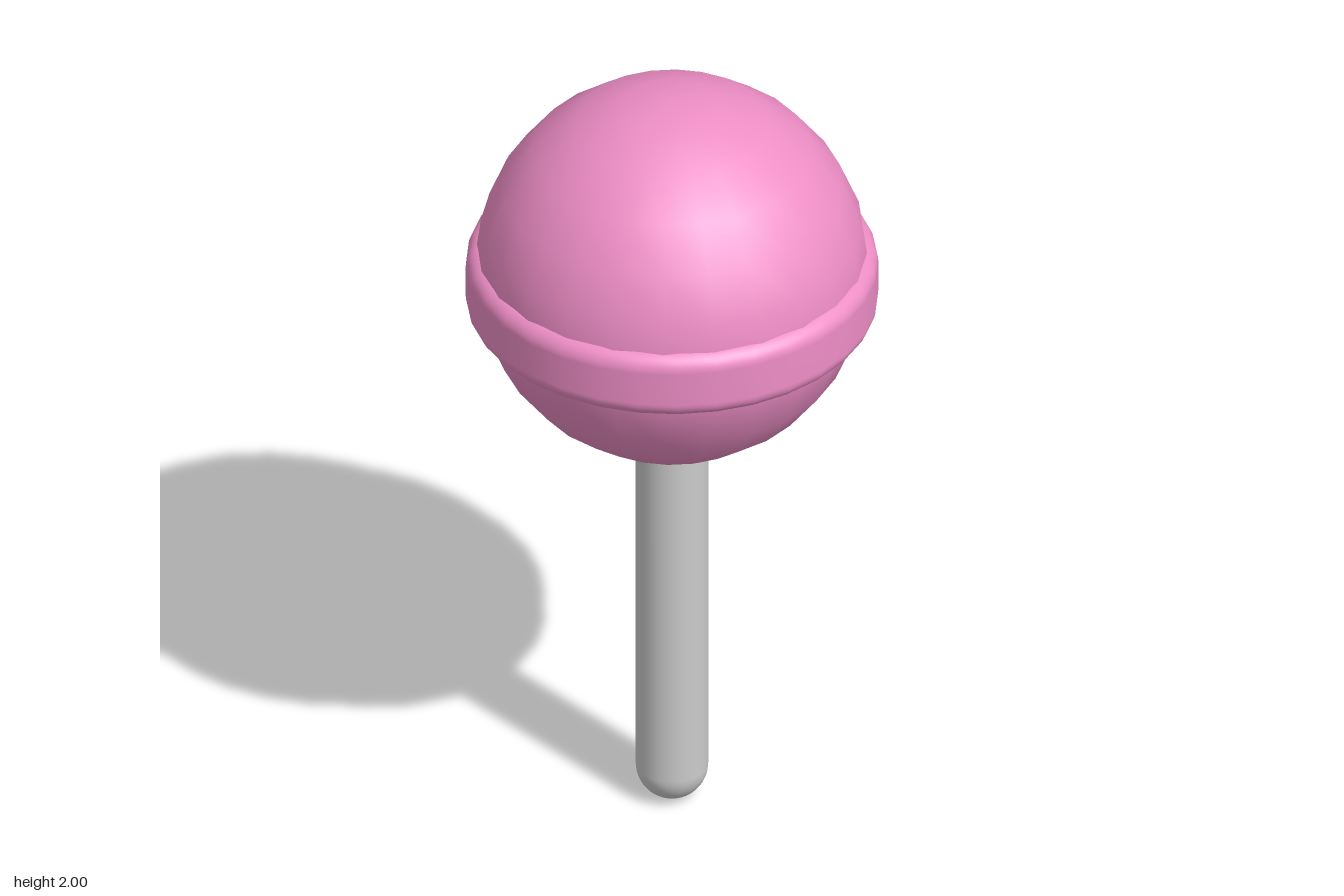
import * as THREE from 'three';

export function createModel() {
  const group = new THREE.Group();
  const pink = new THREE.MeshStandardMaterial({ color: 0xee8ec6 });
  const grey = new THREE.MeshStandardMaterial({ color: 0xcccccc });

  const add = (name, geometry, material) => {
    const mesh = new THREE.Mesh(geometry, material);
    mesh.name = name;
    group.add(mesh);
    return mesh;
  };

  // Candy ball
  const candy = add('candyBall', new THREE.SphereGeometry(0.48, 24, 12), pink);
  candy.position.y = 1.52;
  candy.rotation.y = 0.06;

  // Raised band with rounded edges around the ball
  const outer = 0.5, low = 1.4, high = 1.578, round = 0.045;
  const bandProfile = new THREE.Path();
  bandProfile.moveTo(0.44, low);
  bandProfile.lineTo(outer - round, low);
  bandProfile.absarc(outer - round, low + round, round, -Math.PI / 2, 0);
  bandProfile.absarc(outer - round, high - round, round, 0, Math.PI / 2);
  bandProfile.lineTo(0.44, high);
  add('candyBand', new THREE.LatheGeometry(bandProfile.getPoints(5), 32), pink);

  // Stick with a rounded foot, its top buried in the ball
  const r = 0.088;
  const stickProfile = new THREE.Path();
  stickProfile.absarc(0, r, r, -Math.PI / 2, 0);
  stickProfile.lineTo(r, 1.1);
  const points = stickProfile.getPoints(8);
  points[0].x = 0;
  add('stick', new THREE.LatheGeometry(points, 32), grey);

  return group;
}
